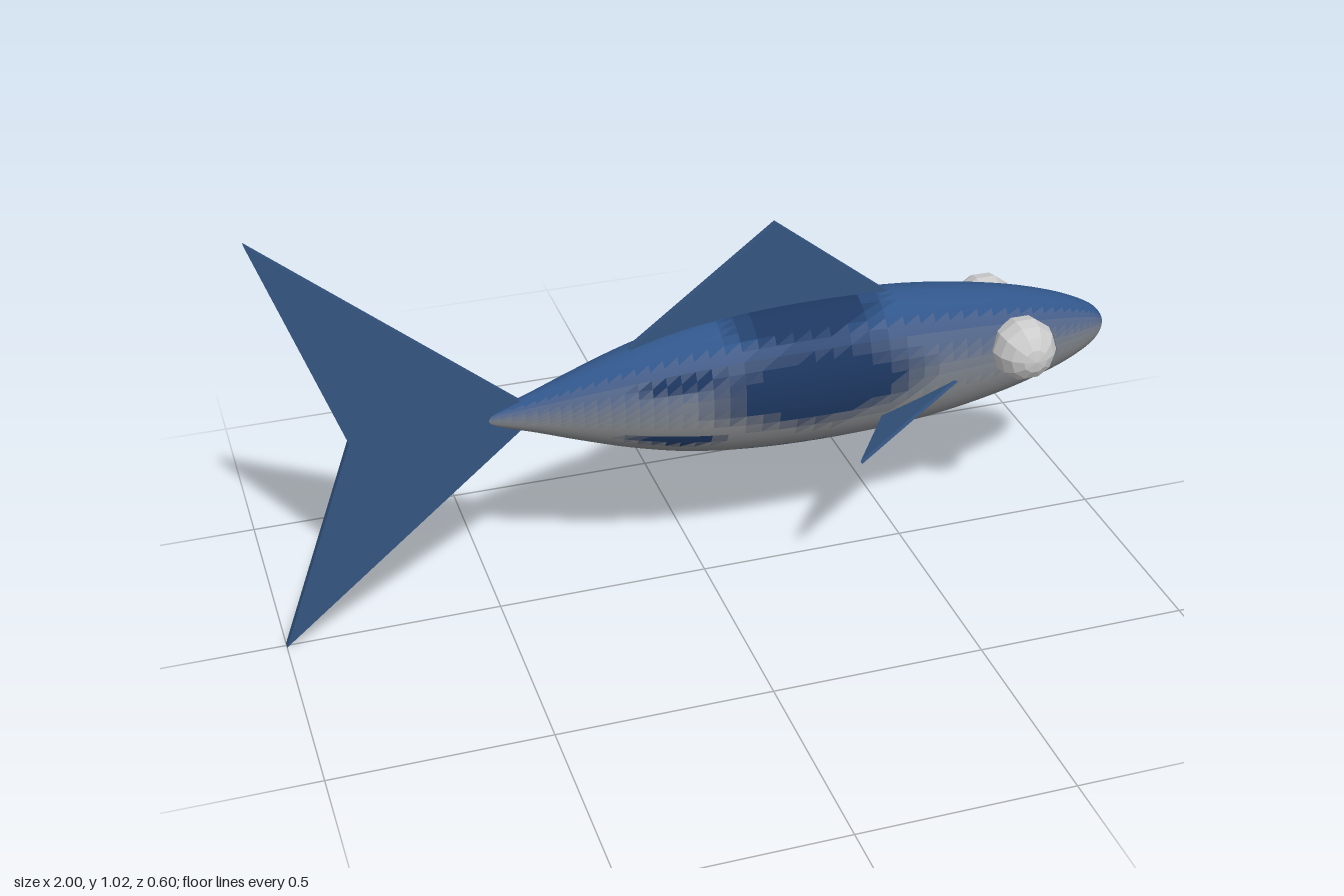
import * as THREE from 'three';

const FIN = 0x34547f;
const MID_Y = 0.52;

const paint = (color, extra = {}) => new THREE.MeshStandardMaterial({ color, ...extra });

function addMesh(parent, name, geometry, material) {
  const mesh = new THREE.Mesh(geometry, material);
  mesh.name = name;
  parent.add(mesh);
  return mesh;
}

// Upright fin: a flat outline in the xy plane with a little thickness
function flatFin(outline) {
  const shape = new THREE.Shape(outline.map(([x, y]) => new THREE.Vector2(x, y)));
  const depth = 0.018;
  return new THREE.ExtrudeGeometry(shape, { depth, bevelEnabled: false }).translate(0, 0, -depth / 2);
}

// Thin triangular plate between three corners in space
function trianglePlate(corners, thickness) {
  const [a, b, c] = corners.map(p => new THREE.Vector3(...p));
  const n = b.clone().sub(a).cross(c.clone().sub(a)).normalize().multiplyScalar(thickness / 2);
  const top = [a, b, c].map(p => p.clone().add(n));
  const low = [a, b, c].map(p => p.clone().sub(n));
  const tris = [...top, low[0], low[2], low[1]];
  for (let i = 0; i < 3; i++) {
    const j = (i + 1) % 3;
    tris.push(low[i], low[j], top[j], low[i], top[j], top[i]);
  }
  const geometry = new THREE.BufferGeometry().setFromPoints(tris);
  geometry.computeVertexNormals();
  return geometry;
}

// How dark the markings are at a spot: x along the body, h from belly (-1) to back (+1)
function marking(x, h) {
  const blob = (cx, ch, rx, rh) => {
    const d = Math.hypot((x - cx) / rx, (h - ch) / rh);
    return THREE.MathUtils.clamp(2.2 - 2 * d, 0, 1);
  };
  return Math.max(
    blob(0.24, 0.12, 0.28, 0.62),   // flank saddle
    blob(0.22, 0.95, 0.2, 0.3),     // back patch
    blob(-0.08, 0.45, 0.12, 0.12),  // flank streaks
    blob(-0.1, -0.55, 0.13, 0.13),
    blob(0.2, -0.97, 0.25, 0.12),   // belly bar
  );
}

function buildBody() {
  const body = new THREE.Group();
  body.name = 'body';
  const profile = [[-0.51, 0], [-0.5, 0.016], [-0.4, 0.05], [-0.3, 0.086], [-0.18, 0.125],
    [-0.05, 0.156], [0.1, 0.174], [0.27, 0.18], [0.45, 0.175], [0.6, 0.159], [0.75, 0.131],
    [0.87, 0.096], [0.95, 0.06], [0.985, 0.031], [1, 0]];
  const curve = new THREE.SplineCurve(profile.map(([x, r]) => new THREE.Vector2(r, x)));
  const points = curve.getPoints(56).map(p => new THREE.Vector2(Math.max(p.x, 0), p.y));
  const skin = new THREE.LatheGeometry(points, 40);
  skin.rotateZ(-Math.PI / 2).scale(1, 1, 0.73).translate(0, MID_Y, 0);

  // Sort the faces into patches of one colour each
  const belly = new THREE.Color(0x86898c), back = new THREE.Color(0x31568a), dark = new THREE.Color(0x1d3760);
  const pos = skin.attributes.position;
  const index = skin.index.array;
  const patches = new Map();
  for (let i = 0; i < index.length; i += 3) {
    const tri = [index[i], index[i + 1], index[i + 2]];
    let x = 0, y = 0, z = 0;
    for (const v of tri) {
      x += pos.getX(v) / 3;
      y += (pos.getY(v) - MID_Y) / 3;
      z += pos.getZ(v) / 3 / 0.73;
    }
    const h = y / Math.max(Math.hypot(y, z), 1e-6);
    const blue = Math.round(THREE.MathUtils.smoothstep(h, -0.5, 1) * 7) / 7;
    const mark = Math.round(marking(x, h) * 4) / 4;
    const hex = belly.clone().lerp(back, blue).lerp(dark, mark).getHex();
    if (!patches.has(hex)) patches.set(hex, []);
    patches.get(hex).push(...tri);
  }
  for (const [hex, faces] of patches) {
    const patch = new THREE.BufferGeometry();
    patch.setAttribute('position', pos);
    patch.setAttribute('normal', skin.attributes.normal);
    patch.setIndex(faces);
    addMesh(body, 'bodyPatch', patch, paint(hex));
  }
  return body;
}

export function createModel() {
  const model = new THREE.Group();
  model.name = 'fish';
  model.add(buildBody());

  // Forked tail and back fin
  addMesh(model, 'tailFin', flatFin([[-1, 0.01], [-0.39, MID_Y], [-1, 1.03], [-0.82, MID_Y]]), paint(FIN));
  addMesh(model, 'dorsalFin',
    flatFin([[-0.18, 0.645], [0, 0.62], [0.3, 0.62], [0.46, 0.675], [0.165, 0.907]]), paint(FIN));

  for (const side of [1, -1]) {
    // Side fins, swept back and slightly tilted
    const corners = [[0.27, 0.436, 0.3], [0.66, 0.508, 0.065], [0.43, 0.422, 0.06]]
      .map(([x, y, z]) => [x, y, z * side]);
    addMesh(model, side > 0 ? 'nearSideFin' : 'farSideFin', trianglePlate(corners, 0.008),
      paint(FIN, { side: THREE.DoubleSide }));

    // Faceted eyes with a pupil looking forward
    const eye = new THREE.Group();
    eye.name = side > 0 ? 'nearEye' : 'farEye';
    eye.position.set(0.74, 0.55, 0.113 * side);
    const ball = new THREE.SphereGeometry(0.076, 10, 8).rotateX(Math.PI / 2);
    addMesh(eye, 'eyeball', ball, paint(0xcccccc, { flatShading: true }));
    const half = 0.52;
    const pupil = new THREE.SphereGeometry(0.078, 3, 2, Math.PI - half, half * 2, Math.PI / 2 - half, half * 2);
    addMesh(eye, 'pupil', pupil, paint(0x15171c, { flatShading: true }));
    model.add(eye);
  }
  return model;
}
